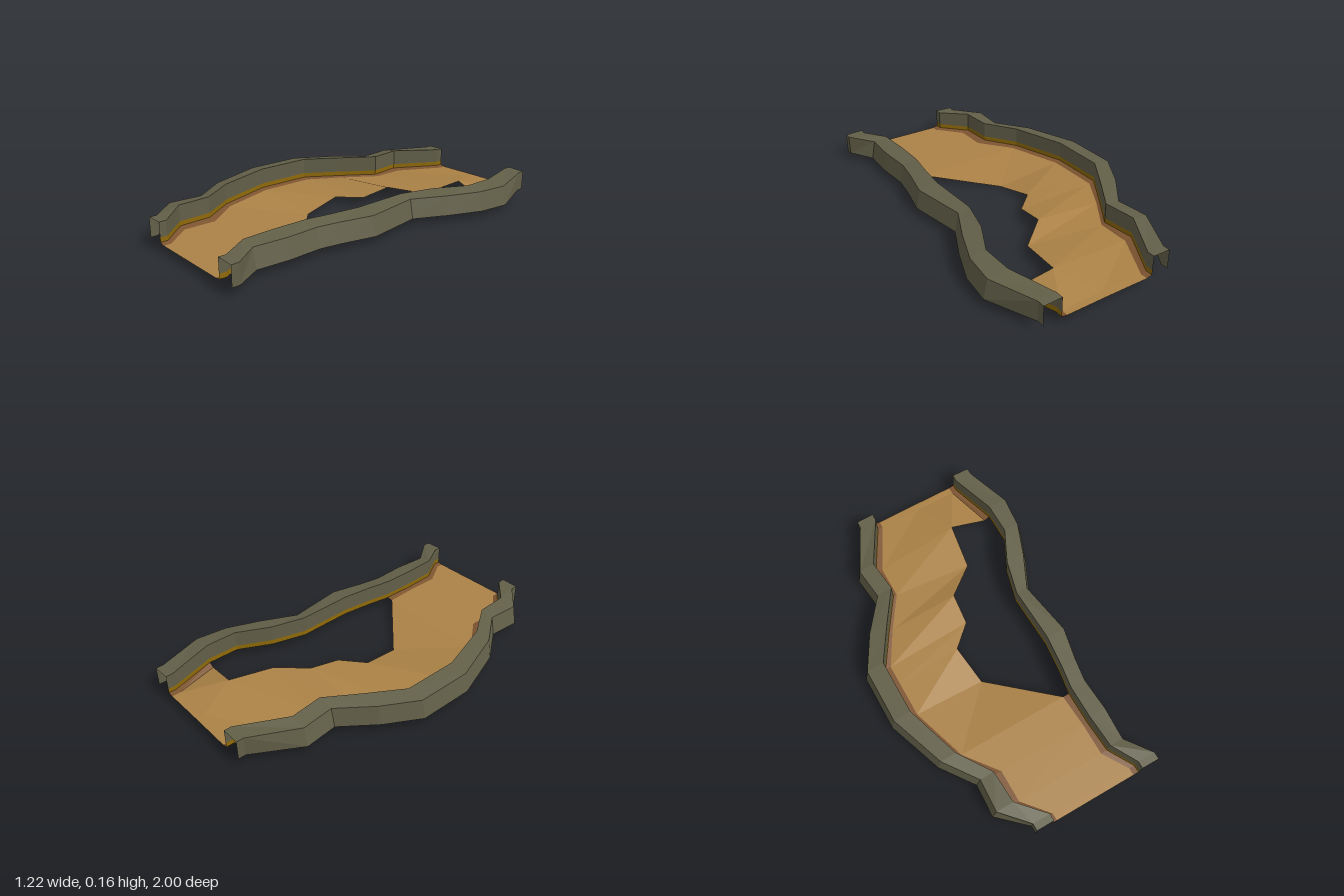
import * as THREE from 'three';

const mat = (name, color) => new THREE.MeshStandardMaterial({ name, color, flatShading: true, side: THREE.DoubleSide });

// Faceted ribbon between two point lists of equal length
function ribbon(name, a, b, material) {
  const pos = [];
  for (let i = 0; i < a.length - 1; i++) {
    pos.push(...a[i], ...a[i + 1], ...b[i], ...b[i], ...a[i + 1], ...b[i + 1]);
  }
  const g = new THREE.BufferGeometry();
  g.setAttribute('position', new THREE.Float32BufferAttribute(pos, 3));
  g.computeVertexNormals();
  const m = new THREE.Mesh(g, material);
  m.name = name;
  return m;
}

export function createModel() {
  const stone = mat('olive stone', 0x625f48);
  const gold = mat('dark gold', 0x8f6a08);
  const earth = mat('red brown', 0x7d5430);
  const sand = mat('tan floor', 0xab8246);
  const model = new THREE.Group();
  model.name = 'curvedChannel';

  // Rail stations: z, outer x, inner x
  const right = [[-1, -0.23, -0.13], [-0.96, -0.23, -0.13], [-0.71, -0.38, -0.27], [-0.53, -0.36, -0.25],
    [-0.35, -0.5, -0.37], [-0.16, -0.61, -0.49], [0.15, -0.61, -0.49], [0.46, -0.5, -0.39],
    [0.64, -0.37, -0.27], [0.82, -0.38, -0.26], [0.96, -0.23, -0.13], [1, -0.23, -0.13]];
  const left = [[-1, 0.5, 0.4], [-0.96, 0.5, 0.4], [-0.705, 0.61, 0.48], [-0.53, 0.59, 0.48],
    [-0.35, 0.52, 0.39], [-0.16, 0.43, 0.34], [0.15, 0.48, 0.35], [0.33, 0.44, 0.33],
    [0.455, 0.42, 0.31], [0.64, 0.43, 0.31], [0.82, 0.42, 0.32], [0.96, 0.5, 0.4], [1, 0.5, 0.4]];

  // Hollow rail: outer wall, sloped cap, inner wall and gold skirting
  function rail(name, stations) {
    const group = new THREE.Group();
    group.name = name;
    const isEnd = z => Math.abs(z) > 0.9;
    const outerFoot = stations.map(([z, o]) => [o, 0.06, z]);
    const outerTop = stations.map(([z, o]) => [o - (isEnd(z) ? 0 : 0.022 * Math.sign(o)), isEnd(z) ? 0.167 : 0.164, z]);
    const innerAt = (y) => stations.map(([z, , i]) => [i, y, z]);
    const innerTop = stations.map(([z, , i]) => [i, isEnd(z) ? 0.17 : 0.178, z]);
    group.add(
      ribbon('outerWall', outerFoot, outerTop, stone),
      ribbon('railCap', outerTop, innerTop, stone),
      ribbon('innerWall', innerTop, innerAt(0.09), stone),
      ribbon('skirting', innerAt(0.09), innerAt(0.063), gold));
    model.add(group);
  }
  rail('rightRail', right);
  rail('leftRail', left);

  // Floor edge beside the right rail
  const floorX = [-0.1, -0.1, -0.23, -0.23, -0.35, -0.46, -0.46, -0.36, -0.22, -0.22, -0.1, -0.1];
  const edge = right.map(([z], i) => [floorX[i], 0.057, z]);
  const foot = s => s.map(([z, , i]) => [i, 0.065, z]);
  model.add(ribbon('rightKerb', foot(right), edge, earth));

  // Floor edges beside the left rail, interrupted by the broken opening
  const backEdge = [[0.37, 0.06, -1], [0.37, 0.06, -0.96], [0.45, 0.047, -0.705]];
  const frontEdge = [[0.275, 0.06, 0.455], [0.285, 0.06, 0.64], [0.285, 0.06, 0.82], [0.37, 0.06, 0.96], [0.37, 0.06, 1]];
  model.add(ribbon('leftKerbBack', foot(left.slice(0, 3)), backEdge, earth));
  model.add(ribbon('leftKerbFront', foot(left.slice(8)), frontEdge, earth));

  // Uneven floor, with the jagged opening along its left side
  const start = [[0.14, 0.06, -1], [0.14, 0.062, -0.96], [0.245, 0.1, -0.735]];
  const jagged = [[0.21, 0.07, -0.485], [0.045, 0.094, -0.35], [0.03, 0.068, -0.18], [-0.09, 0.062, -0.07], [-0.06, 0.022, 0.15]];
  const floorRight = [...edge.slice(0, 6), [-0.46, 0.057, -0.05], ...edge.slice(6)];
  model.add(ribbon('floor', floorRight, [...start, ...jagged, ...frontEdge], sand));
  model.add(ribbon('floorBackCorner', start, backEdge, sand));
  return model;
}
